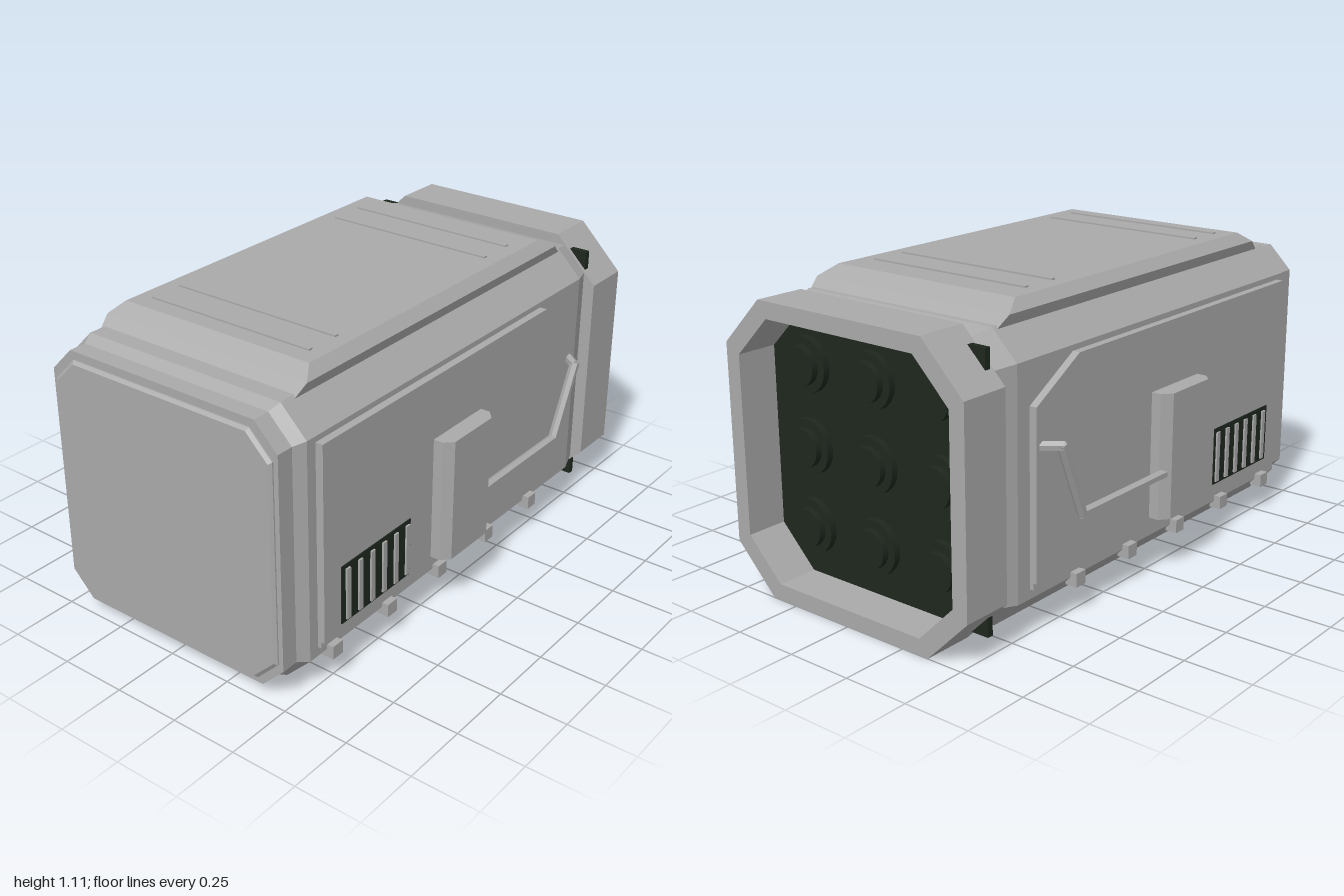
import * as THREE from 'three';

const hull = new THREE.MeshStandardMaterial({ color: 0xaaaaaa });
hull.name = 'hull grey';
const dark = new THREE.MeshStandardMaterial({ color: 0x1e271e });
dark.name = 'dark green black';

// Octagon ring at depth z, counter-clockwise seen from the front
function octagon(hw, y0, y1, c, z) {
  return [[hw, y0 + c], [hw, y1 - c], [hw - c, y1], [c - hw, y1],
    [-hw, y1 - c], [-hw, y0 + c], [c - hw, y0], [hw - c, y0]].map(([x, y]) => [x, y, z]);
}

// Rectangle ring at height y
function rectangle(hw, front, back, y) {
  return [[hw, y, front], [hw, y, back], [-hw, y, back], [-hw, y, front]];
}

// Flat-faced skin through rings of equal point count
function loft(rings, caps = true) {
  const pos = [];
  const n = rings[0].length;
  const tri = (a, b, c) => pos.push(...a, ...b, ...c);
  for (let i = 0; i + 1 < rings.length; i++) {
    for (let j = 0; j < n; j++) {
      const k = (j + 1) % n;
      tri(rings[i][j], rings[i][k], rings[i + 1][k]);
      tri(rings[i][j], rings[i + 1][k], rings[i + 1][j]);
    }
  }
  if (caps) {
    const first = rings[0], last = rings[rings.length - 1];
    for (let j = 1; j + 1 < n; j++) {
      tri(first[0], first[j + 1], first[j]);
      tri(last[0], last[j], last[j + 1]);
    }
  }
  const g = new THREE.BufferGeometry();
  g.setAttribute('position', new THREE.Float32BufferAttribute(pos, 3));
  g.computeVertexNormals();
  return g;
}

// Box given by its minimum and maximum corners
function box(x0, x1, y0, y1, z0, z1) {
  return new THREE.BoxGeometry(x1 - x0, y1 - y0, z1 - z0)
    .translate((x0 + x1) / 2, (y0 + y1) / 2, (z0 + z1) / 2);
}

// Mirror across x, keeping faces outward
function mirrored(geometry) {
  const g = geometry.index ? geometry.toNonIndexed() : geometry.clone();
  g.scale(-1, 1, 1);
  for (const attr of Object.values(g.attributes)) {
    const s = attr.itemSize, a = attr.array;
    for (let i = 0; i < attr.count; i += 3) {
      for (let k = 0; k < s; k++) {
        const p = (i + 1) * s + k, q = (i + 2) * s + k;
        [a[p], a[q]] = [a[q], a[p]];
      }
    }
  }
  return g;
}

// Straight six-sided rod between two points
function rod(a, b, r) {
  const p = new THREE.Vector3(...a), q = new THREE.Vector3(...b);
  const d = q.clone().sub(p);
  const g = new THREE.CylinderGeometry(r, r, d.length() + r * 0.8, 6).toNonIndexed();
  g.computeVertexNormals();
  g.applyQuaternion(new THREE.Quaternion().setFromUnitVectors(
    new THREE.Vector3(0, 1, 0), d.normalize()));
  return g.translate((p.x + q.x) / 2, (p.y + q.y) / 2, (p.z + q.z) / 2);
}

export function createModel() {
  const model = new THREE.Group();
  model.name = 'containerModule';
  const add = (name, geometry, material = hull) => {
    const mesh = new THREE.Mesh(geometry, material);
    mesh.name = name;
    model.add(mesh);
  };
  const addPair = (name, geometry, material = hull) => {
    add(name + 'Left', geometry, material);
    add(name + 'Right', mirrored(geometry), material);
  };

  // Main body with stepped ends
  add('body', loft([
    octagon(0.48, 0.05, 1.02, 0.09, -0.82),
    octagon(0.51, 0.03, 1.04, 0.1, -0.73),
    octagon(0.51, 0.03, 1.04, 0.1, 0.88),
    octagon(0.485, 0.05, 1.02, 0.09, 0.92),
    octagon(0.485, 0.05, 1.02, 0.09, 0.985),
  ]));
  add('frontPlate', loft([
    octagon(0.467, 0.073, 0.99, 0.088, 0.98),
    octagon(0.467, 0.073, 0.99, 0.088, 0.99),
    octagon(0.457, 0.083, 0.98, 0.085, 1),
  ]));

  // Raised roof and its ribs
  add('roof', loft([
    rectangle(0.415, 0.84, -0.73, 1.02),
    rectangle(0.43, 0.78, -0.67, 1.07),
    rectangle(0.395, 0.725, -0.6, 1.107),
  ]));
  for (const z of [0.65, 0.52, -0.335, -0.475]) {
    add('roofRib', box(-0.34, 0.34, 1.1, 1.113, z - 0.009, z + 0.009));
  }

  // Hollow rear collar
  const inner = (z) => octagon(0.47, 0.06, 1.0, 0.145, z);
  const outer = (z) => octagon(0.53, 0, 1.06, 0.17, z);
  add('rearCollar', loft(
    [inner(-0.81), inner(-1), outer(-1), outer(-0.81), inner(-0.81)], false));

  // Dark rear plate, its corners showing past the collar
  add('rearPlate', box(-0.48, 0.48, 0.05, 1.01, -0.845, -0.822), dark);
  for (let i = -1; i <= 1; i++) {
    for (let j = -1; j <= 1; j++) {
      const x = i * 0.3, y = 0.53 + j * 0.29;
      add('rearKnob', new THREE.CylinderGeometry(0.1, 0.1, 0.03, 20)
        .rotateX(Math.PI / 2).translate(x, y, -0.855), dark);
      add('rearKnobCap', new THREE.CylinderGeometry(0.07, 0.07, 0.03, 20)
        .rotateX(Math.PI / 2).translate(x, y, -0.88), dark);
    }
  }

  // Side panels with one cut corner (shape drawn in -z, y)
  const panel = new THREE.Shape([[-0.84, 0.19], [0.67, 0.19], [0.67, 0.79],
    [0.45, 0.92], [-0.84, 0.92]].map((p) => new THREE.Vector2(...p)));
  addPair('sidePanel', new THREE.ExtrudeGeometry(panel, { depth: 0.04, bevelEnabled: false })
    .rotateY(Math.PI / 2).translate(0.498, 0, 0));
  addPair('lowerRail', box(0.5, 0.525, 0.165, 0.19, -0.67, 0.84));

  // Side boxes with chamfered upright edges (shape drawn in x, -z)
  const plan = new THREE.Shape([[0.53, -0.25], [0.575, -0.25], [0.605, -0.22],
    [0.605, 0], [0.575, 0.035], [0.53, 0.035]].map((p) => new THREE.Vector2(...p)));
  addPair('sideBox', new THREE.ExtrudeGeometry(plan, { depth: 0.465, bevelEnabled: false })
    .rotateX(-Math.PI / 2).translate(0, 0.22, 0));

  // Bent grab handles
  const path = [[0.58, 0.39, -0.01], [0.58, 0.39, -0.485],
    [0.585, 0.655, -0.6], [0.535, 0.655, -0.64]];
  for (let i = 0; i + 1 < path.length; i++) {
    addPair('handleRod', rod(path[i], path[i + 1], 0.018));
  }

  // Slatted vents
  addPair('ventPlate', box(0.535, 0.542, 0.22, 0.44, 0.38, 0.755), dark);
  for (let i = 0; i < 6; i++) {
    const z = 0.4 + i * 0.065;
    addPair('ventSlat', box(0.535, 0.549, 0.23, 0.425, z - 0.01, z + 0.01));
  }

  // Clips along the lower edge
  for (let i = 0; i < 5; i++) {
    const z = 0.77 - i * 0.3;
    addPair('clip', box(0.49, 0.537, 0.1, 0.15, z - 0.025, z + 0.025));
  }
  return model;
}
